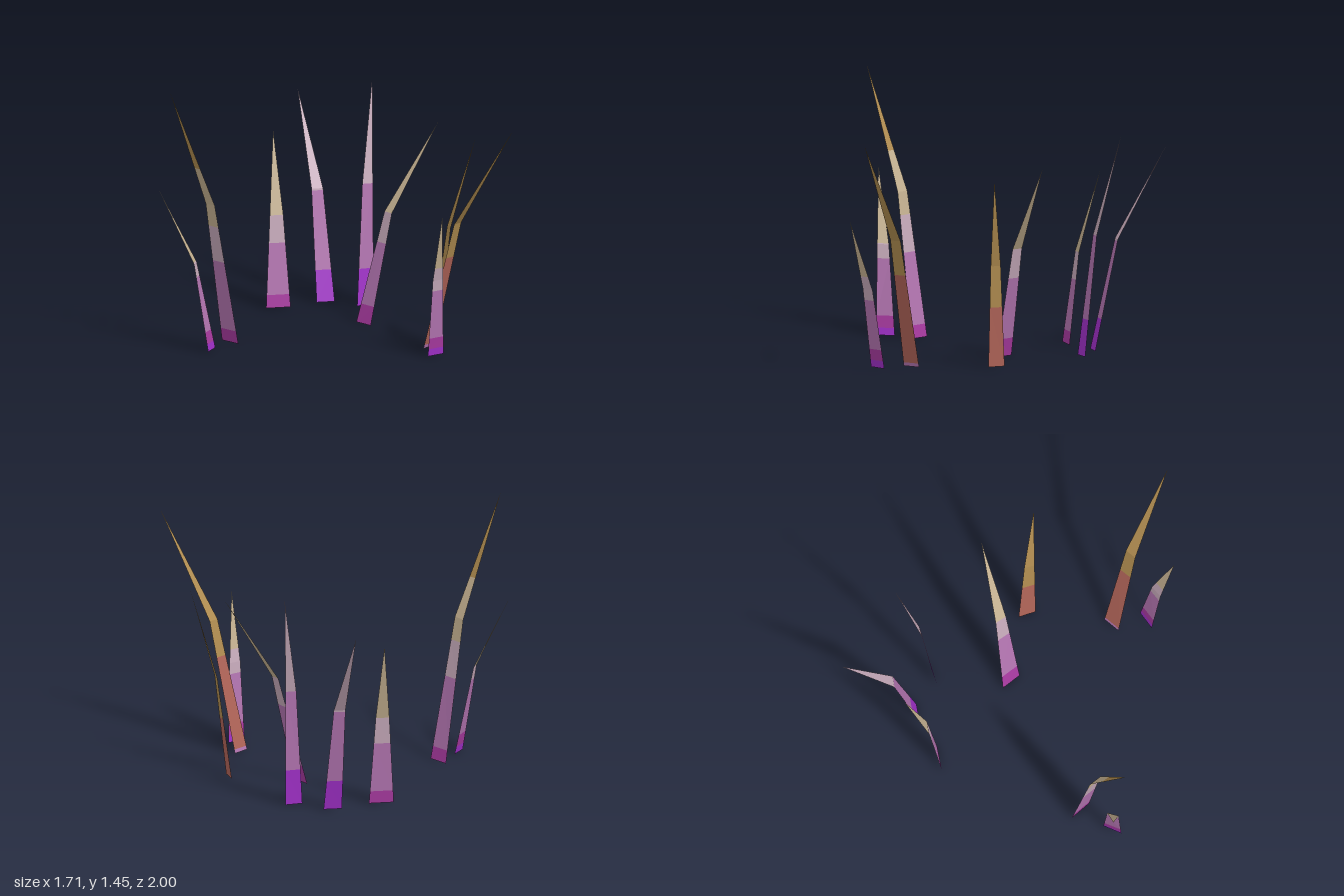
import * as THREE from 'three';

const flat = (name, color) => {
  const m = new THREE.MeshStandardMaterial({ color, side: THREE.DoubleSide, flatShading: true });
  m.name = name;
  return m;
};
const violet = flat('violet', 0xa030c8);
const magenta = flat('magenta', 0xa83aa0);
const purple = flat('purple', 0xb274b0);
const mauve = flat('mauve', 0xc4a8b8);
const tan = flat('tan', 0xc4b090);
const gold = flat('gold', 0xb08c50);
const rust = flat('rust', 0xb06458);

// Each blade: two base corners and two bend corners as [x, z], bend height,
// tip [x, y, z], and colour bands as [material, top height] from the ground up
const blades = [
  { base: [[0.26, -0.77], [0.37, -0.69]], bend: [[0.325, -0.80], [0.385, -0.755]], bendY: 0.5, tip: [0.44, 0.945, -0.875],
    bands: [[magenta, 0.07], [purple, 0.35], [mauve, 0.5], [tan, 9]] },
  { base: [[0.54, -0.65], [0.62, -0.59]], bend: [[0.625, -0.76], [0.675, -0.72]], bendY: 0.6, tip: [0.79, 1.09, -1.0],
    bands: [[violet, 0.17], [purple, 0.59], [mauve, 9]] },
  { base: [[0.62, -0.43], [0.705, -0.385]], bend: [[0.70, -0.462], [0.75, -0.43]], bendY: 0.66, tip: [0.85, 1.215, -0.52],
    bands: [[violet, 0.2], [purple, 0.66], [mauve, 9]] },
  { base: [[-0.44, -0.485], [-0.45, -0.36]], bend: [[-0.575, -0.485], [-0.585, -0.412]], bendY: 0.785, tip: [-0.855, 1.445, -0.495],
    bands: [[magenta, 0.07], [purple, 0.46], [mauve, 0.66], [tan, 1.0], [gold, 9]] },
  { base: [[-0.695, -0.365], [-0.595, -0.40]], bend: [[-0.737, -0.43], [-0.68, -0.46]], bendY: 0.485, tip: [-0.845, 0.89, -0.585],
    bands: [[violet, 0.04], [magenta, 0.105], [purple, 0.41], [mauve, 0.49], [tan, 9]] },
  { base: [[0.345, -0.20], [0.33, -0.085]], bend: [[0.48, -0.115], [0.465, -0.05]], bendY: 0.605, tip: [0.74, 1.08, 0.045],
    bands: [[magenta, 0.1], [purple, 0.44], [mauve, 0.605], [tan, 9]] },
  { base: [[0.565, 0.155], [0.52, 0.24]], bend: [[0.597, 0.232], [0.567, 0.282]], bendY: 0.56, tip: [0.662, 1.05, 0.375],
    bands: [[rust, 0.33], [gold, 9]] },
  { base: [[0.12, 0.47], [0.22, 0.465]], bend: [[0.165, 0.65], [0.23, 0.645]], bendY: 0.71, tip: [0.25, 1.27, 0.995],
    bands: [[purple, 0.02], [rust, 0.515], [gold, 9]] },
  { base: [[0, 0.605], [0.105, 0.625]], bend: [[-0.018, 0.655], [0.055, 0.665]], bendY: 0.43, tip: [-0.04, 0.805, 0.742],
    bands: [[violet, 0.04], [magenta, 0.1], [purple, 0.37], [mauve, 0.5], [tan, 9]] },
];

// Point on one edge of a blade at a given height
function edgePoint(blade, side, y) {
  const [bx, bz] = blade.base[side];
  const [mx, mz] = blade.bend[side];
  const [tx, ty, tz] = blade.tip;
  const base = new THREE.Vector3(bx, 0, bz);
  const bend = new THREE.Vector3(mx, blade.bendY, mz);
  const tip = new THREE.Vector3(tx, ty, tz);
  return y <= blade.bendY
    ? base.lerp(bend, y / blade.bendY)
    : bend.lerp(tip, (y - blade.bendY) / (ty - blade.bendY));
}

// Ribbon between two heights, with an extra row where the blade bends
function bandGeometry(blade, y0, y1) {
  const rows = [y0, y1];
  if (blade.bendY > y0 && blade.bendY < y1) rows.splice(1, 0, blade.bendY);
  const points = [];
  const index = [];
  rows.forEach((y, i) => {
    points.push(edgePoint(blade, 0, y), edgePoint(blade, 1, y));
    if (i === 0) return;
    const a = 2 * i - 2;
    index.push(a, a + 1, a + 3);
    if (y < blade.tip[1]) index.push(a, a + 3, a + 2);
  });
  const geometry = new THREE.BufferGeometry().setFromPoints(points);
  geometry.setIndex(index);
  const split = geometry.toNonIndexed();
  split.computeVertexNormals();
  return split;
}

export function createModel() {
  const grass = new THREE.Group();
  grass.name = 'grassTuft';
  blades.forEach((blade, i) => {
    const group = new THREE.Group();
    group.name = `blade${i + 1}`;
    let y = 0;
    for (const [material, limit] of blade.bands) {
      const top = Math.min(limit, blade.tip[1]);
      const mesh = new THREE.Mesh(bandGeometry(blade, y, top), material);
      mesh.name = `${material.name}Band`;
      group.add(mesh);
      y = top;
    }
    grass.add(group);
  });
  return grass;
}
